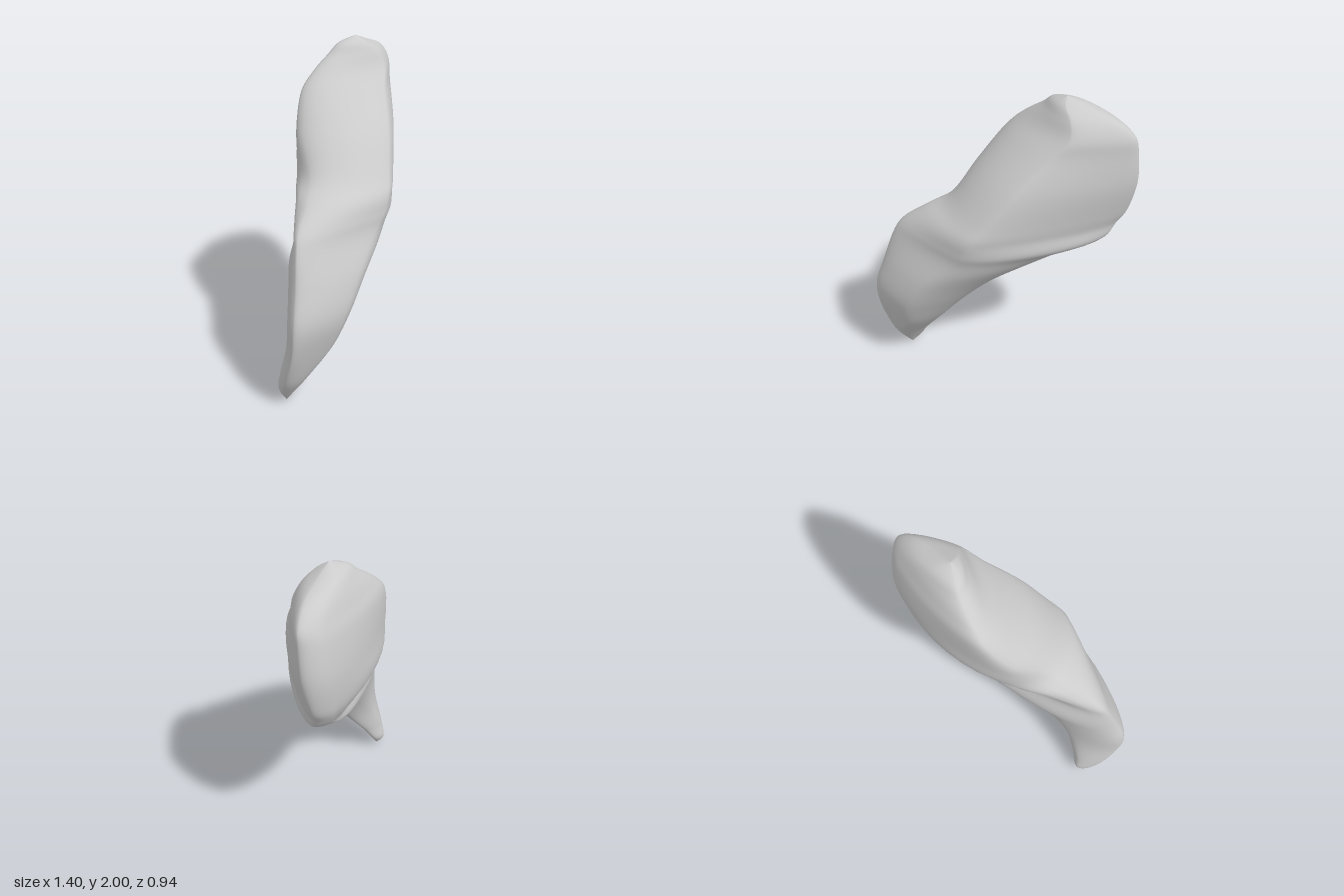
import * as THREE from 'three';

// Horizontal sections: y, then x,z of the leftmost, rearmost, rightmost and foremost points
const SECTIONS = [
  [0.00, -0.60, 0.20, -0.60, 0.20, -0.60, 0.20, -0.60, 0.20],
  [0.08, -0.65, 0.22, -0.60, 0.14, -0.54, 0.17, -0.60, 0.26],
  [0.20, -0.68, 0.29, -0.57, 0.15, -0.46, 0.19, -0.57, 0.34],
  [0.40, -0.69, 0.37, -0.46, 0.15, -0.30, 0.20, -0.44, 0.42],
  [0.60, -0.69, 0.39, -0.30, 0.09, -0.14, 0.15, -0.38, 0.47],
  [0.80, -0.64, 0.35, -0.08, -0.04, 0.06, 0.03, -0.26, 0.45],
  [1.00, -0.59, 0.30, 0.25, -0.29, 0.36, -0.21, -0.08, 0.39],
  [1.10, -0.54, 0.25, 0.44, -0.36, 0.55, -0.30, 0.00, 0.38],
  [1.20, -0.42, 0.17, 0.50, -0.42, 0.60, -0.36, 0.05, 0.365],
  [1.30, -0.29, 0.05, 0.53, -0.45, 0.65, -0.39, 0.11, 0.305],
  [1.50, -0.21, -0.12, 0.56, -0.465, 0.70, -0.38, 0.22, 0.18],
  [1.70, -0.10, -0.23, 0.56, -0.44, 0.70, -0.36, 0.34, 0.015],
  [1.81, 0.01, -0.25, 0.54, -0.405, 0.68, -0.34, 0.42, -0.07],
  [1.90, 0.13, -0.25, 0.45, -0.36, 0.58, -0.29, 0.40, -0.115],
  [1.96, 0.20, -0.24, 0.35, -0.30, 0.42, -0.24, 0.34, -0.155],
  [2.00, 0.31, -0.21, 0.31, -0.21, 0.31, -0.21, 0.31, -0.21],
];

const ROWS = 90;
const PER_QUADRANT = 12;
const RING = PER_QUADRANT * 4;
const bump = (y, centre, width) => Math.exp(-(((y - centre) / width) ** 2));

// Roundness of each quadrant at a height: 0 is a straight side, 0.55 is elliptical
function roundness(y) {
  return [
    0.4 - 0.22 * bump(y, 1.05, 0.13) + 0.12 * bump(y, 1.32, 0.12), // hollow neck under a full rim
    0.5,
    0.42 - 0.24 * THREE.MathUtils.smoothstep(y, 0.9, 1.2),
    0.52,
  ];
}

export function createModel() {
  // Four guide rails running from the pointed foot to the crown
  const rails = [1, 3, 5, 7].map((k) => new THREE.CatmullRomCurve3(
    SECTIONS.map((s) => new THREE.Vector3(s[k], s[0], s[k + 1])), false, 'catmullrom', 0.5));

  const positions = [];
  const indices = [];

  for (let i = 0; i <= ROWS; i++) {
    const corners = rails.map((rail) => rail.getPoint(i / ROWS));
    const y = corners[0].y;
    const round = roundness(y);
    corners.forEach((a, q) => {
      // Left and right corners leave along z, rear and front corners along x
      const b = corners[(q + 1) % 4];
      const meet = q % 2 === 0 ? new THREE.Vector3(a.x, y, b.z) : new THREE.Vector3(b.x, y, a.z);
      const side = new THREE.CubicBezierCurve3(
        a, a.clone().lerp(meet, round[q]), b.clone().lerp(meet, round[q]), b);
      for (let j = 0; j < PER_QUADRANT; j++) {
        positions.push(...side.getPoint(j / PER_QUADRANT).toArray());
      }
    });
  }

  // Skin between neighbouring sections, with a fan at each pointed end
  for (let i = 0; i < ROWS; i++) {
    for (let j = 0; j < RING; j++) {
      const a = i * RING + j, b = i * RING + (j + 1) % RING;
      const c = a + RING, d = b + RING;
      if (i > 0) indices.push(a, c, b);
      if (i < ROWS - 1) indices.push(b, c, d);
    }
  }

  const geometry = new THREE.BufferGeometry();
  geometry.setAttribute('position', new THREE.Float32BufferAttribute(positions, 3));
  geometry.setIndex(indices);
  geometry.computeVertexNormals();

  // Curved, tapering organic body
  const body = new THREE.Mesh(geometry, new THREE.MeshStandardMaterial({ color: 0xcccccc }));
  body.name = 'curvedBody';

  const group = new THREE.Group();
  group.name = 'taperedForm';
  group.add(body);
  return group;
}
